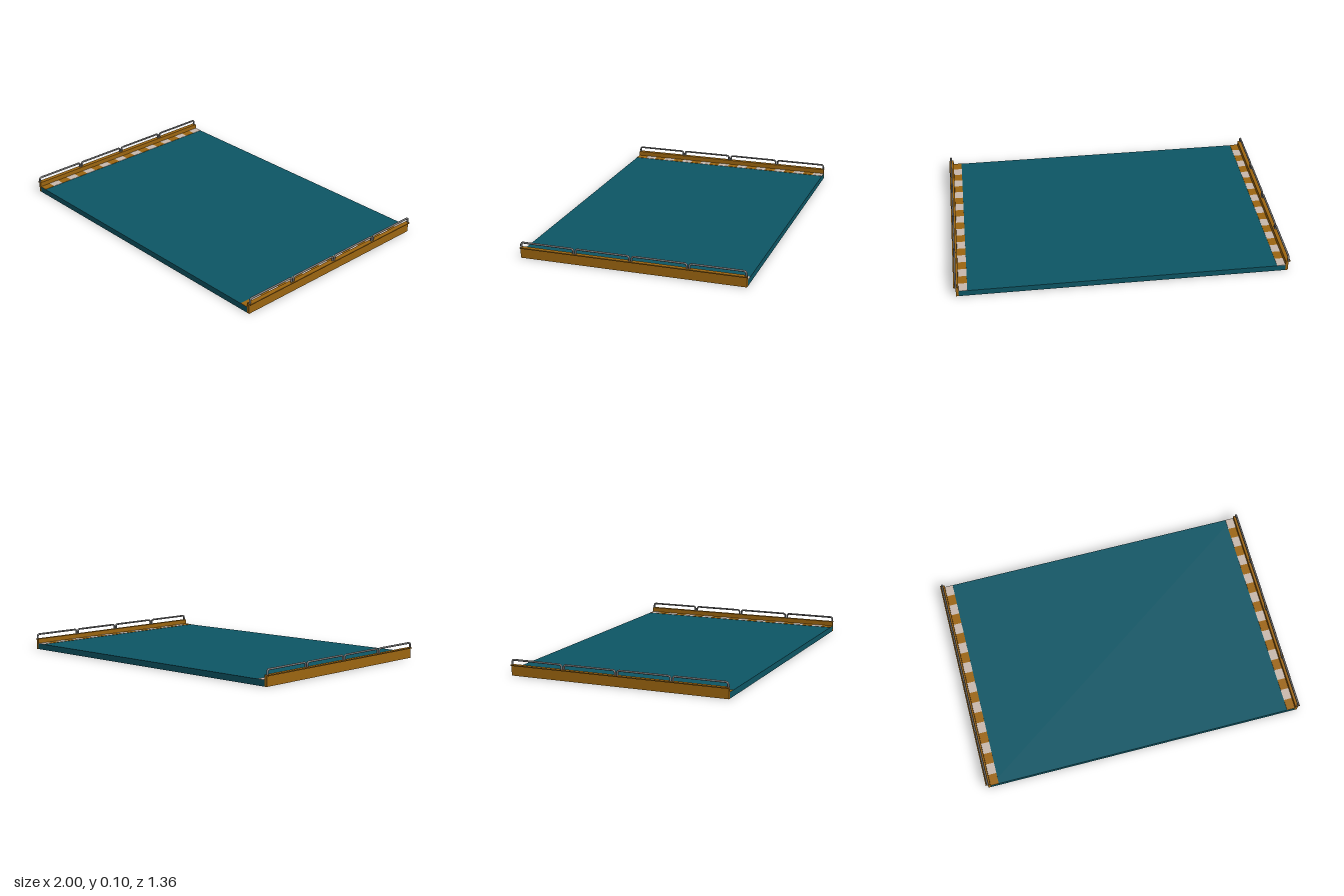
import * as THREE from 'three';

const LENGTH = 1.356; // along z
const teal = new THREE.MeshStandardMaterial({ color: 0x0d5665 });
const ochre = new THREE.MeshStandardMaterial({ color: 0x9c6510 });
const pale = new THREE.MeshStandardMaterial({ color: 0xc8b8ac });
const steel = new THREE.MeshStandardMaterial({ color: 0x777777 });

function box(name, mat, x0, x1, y0, y1, z0 = -LENGTH / 2, z1 = LENGTH / 2) {
  const mesh = new THREE.Mesh(new THREE.BoxGeometry(x1 - x0, y1 - y0, z1 - z0), mat);
  mesh.position.set((x0 + x1) / 2, (y0 + y1) / 2, (z0 + z1) / 2);
  mesh.name = name;
  return mesh;
}

// Bent-tube guard rail: two posts joined by a bar with rounded corners
function railGeometry(width, bottom, top, bend) {
  const h = width / 2;
  const v = (y, z) => new THREE.Vector3(0, y, z);
  const path = new THREE.CurvePath();
  path.add(new THREE.LineCurve3(v(bottom, -h), v(top - bend, -h)));
  path.add(new THREE.QuadraticBezierCurve3(v(top - bend, -h), v(top, -h), v(top, -h + bend)));
  path.add(new THREE.LineCurve3(v(top, -h + bend), v(top, h - bend)));
  path.add(new THREE.QuadraticBezierCurve3(v(top, h - bend), v(top, h), v(top - bend, h)));
  path.add(new THREE.LineCurve3(v(top - bend, h), v(bottom, h)));
  return new THREE.TubeGeometry(path, 120, 0.006, 10);
}

export function createModel() {
  const model = new THREE.Group();
  model.name = 'platform';
  model.add(box('deckSlab', teal, -0.972, 0.972, 0, 0.036));

  const railGeo = railGeometry(0.325, 0.06, 0.095, 0.016);
  const stripes = 20;
  const step = LENGTH / stripes;

  for (const s of [1, -1]) {
    const side = new THREE.Group();
    side.name = s > 0 ? 'leftEdge' : 'rightEdge';
    const span = (a, b) => (s > 0 ? [a, b] : [-b, -a]);

    // Upright kerb with a flange along its top
    side.add(box('kerb', ochre, ...span(0.972, 0.988), 0, 0.06));
    side.add(box('kerbFlange', ochre, ...span(0.972, 1), 0.06, 0.066));

    // Warning stripes beside the kerb, pale at the back end
    for (let i = 0; i < stripes; i++) {
      const z = -LENGTH / 2 + i * step;
      side.add(box('warningStripe', i % 2 ? ochre : pale, ...span(0.921, 0.972), 0.036, 0.038, z, z + step));
    }

    // Four guard rails end to end
    for (let i = 0; i < 4; i++) {
      const rail = new THREE.Mesh(railGeo, steel);
      rail.name = 'guardRail';
      rail.position.set(s * 0.987, 0, (i - 1.5) * 0.34);
      side.add(rail);
    }
    model.add(side);
  }
  return model;
}
